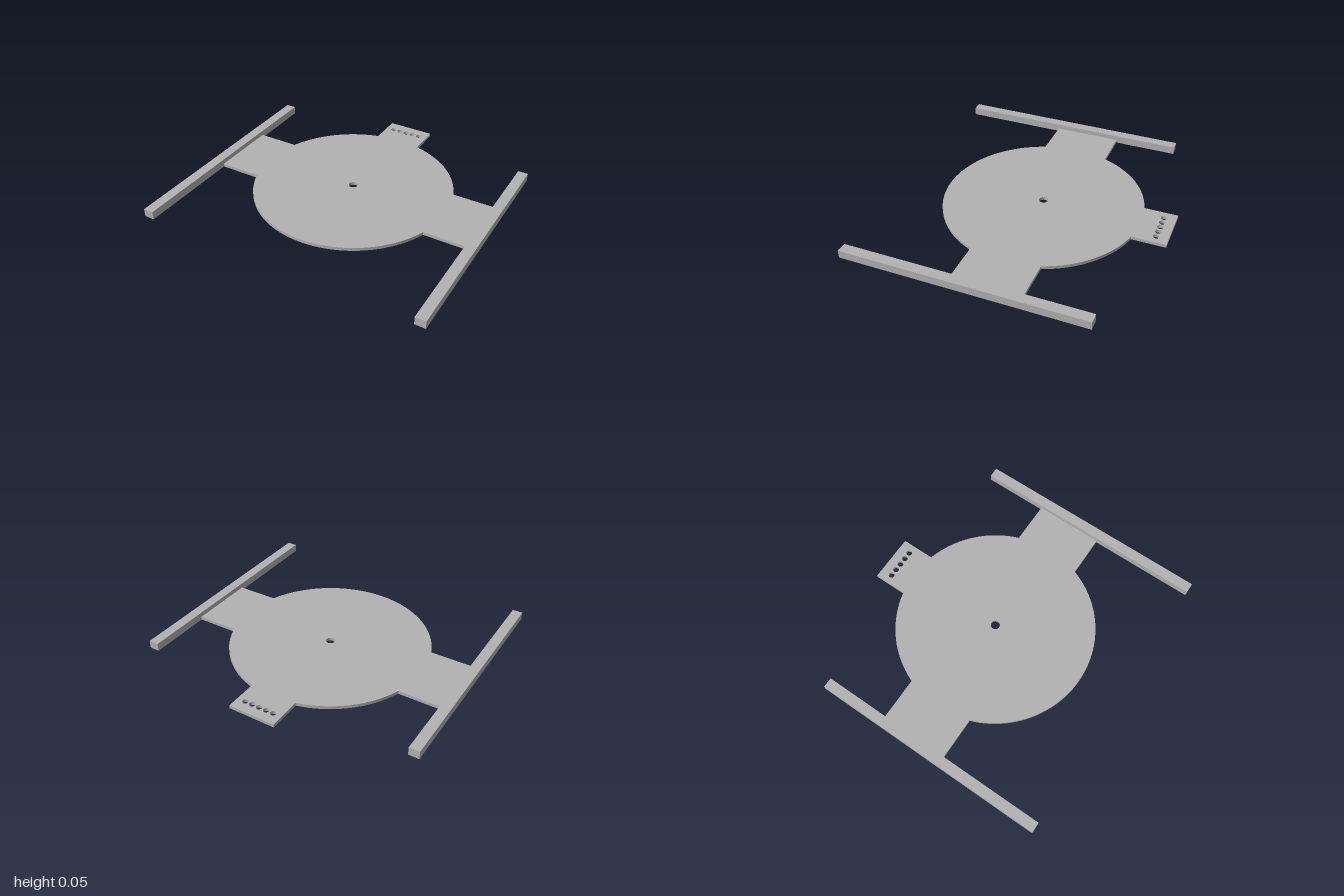
import * as THREE from 'three';

const R = 0.68, CY = 0.035;      // disc radius and centre (shape y = -z)
const ARM = 0.235, TAB = 0.163;  // half widths of side arms and rear tab
const RAIL_IN = 0.93;            // inner face of the rails
const PLATE_H = 0.022, RAIL_H = 0.055;

function hole(x, y, r) {
  return new THREE.Path().absarc(x, y, r, 0, Math.PI * 2, true);
}

export function createModel() {
  const group = new THREE.Group();
  const grey = new THREE.MeshStandardMaterial({ color: 0xb2b2b2 });
  grey.name = 'grey';

  // Outline: disc with two side arms and a rear tab, counter-clockwise
  const a = Math.asin(ARM / R), t = Math.acos(TAB / R);
  const s = new THREE.Shape();
  s.moveTo(RAIL_IN, CY - ARM);
  s.lineTo(RAIL_IN, CY + ARM);
  s.absarc(0, CY, R, a, t, false);
  s.lineTo(TAB, 0.924);
  s.lineTo(-TAB, 0.924);
  s.absarc(0, CY, R, Math.PI - t, Math.PI - a, false);
  s.lineTo(-RAIL_IN, CY + ARM);
  s.lineTo(-RAIL_IN, CY - ARM);
  s.absarc(0, CY, R, Math.PI + a, Math.PI * 2 - a, false);
  s.closePath();

  // Centre hole and the row of five tab holes
  s.holes.push(hole(0, CY, 0.031));
  for (let i = -2; i <= 2; i++) s.holes.push(hole(i * 0.0515, 0.843, 0.02));

  const plateGeo = new THREE.ExtrudeGeometry(s, { depth: PLATE_H, bevelEnabled: false, curveSegments: 48 });
  plateGeo.rotateX(-Math.PI / 2);
  const plate = new THREE.Mesh(plateGeo, grey);
  plate.name = 'basePlate';
  group.add(plate);

  // Long side rails
  const z0 = -0.712, z1 = 0.924;
  for (const side of [1, -1]) {
    const rail = new THREE.Mesh(new THREE.BoxGeometry(1 - RAIL_IN, RAIL_H, z1 - z0), grey);
    rail.position.set(side * (1 + RAIL_IN) / 2, RAIL_H / 2, (z0 + z1) / 2);
    rail.name = side > 0 ? 'leftRail' : 'rightRail';
    group.add(rail);
  }
  return group;
}
